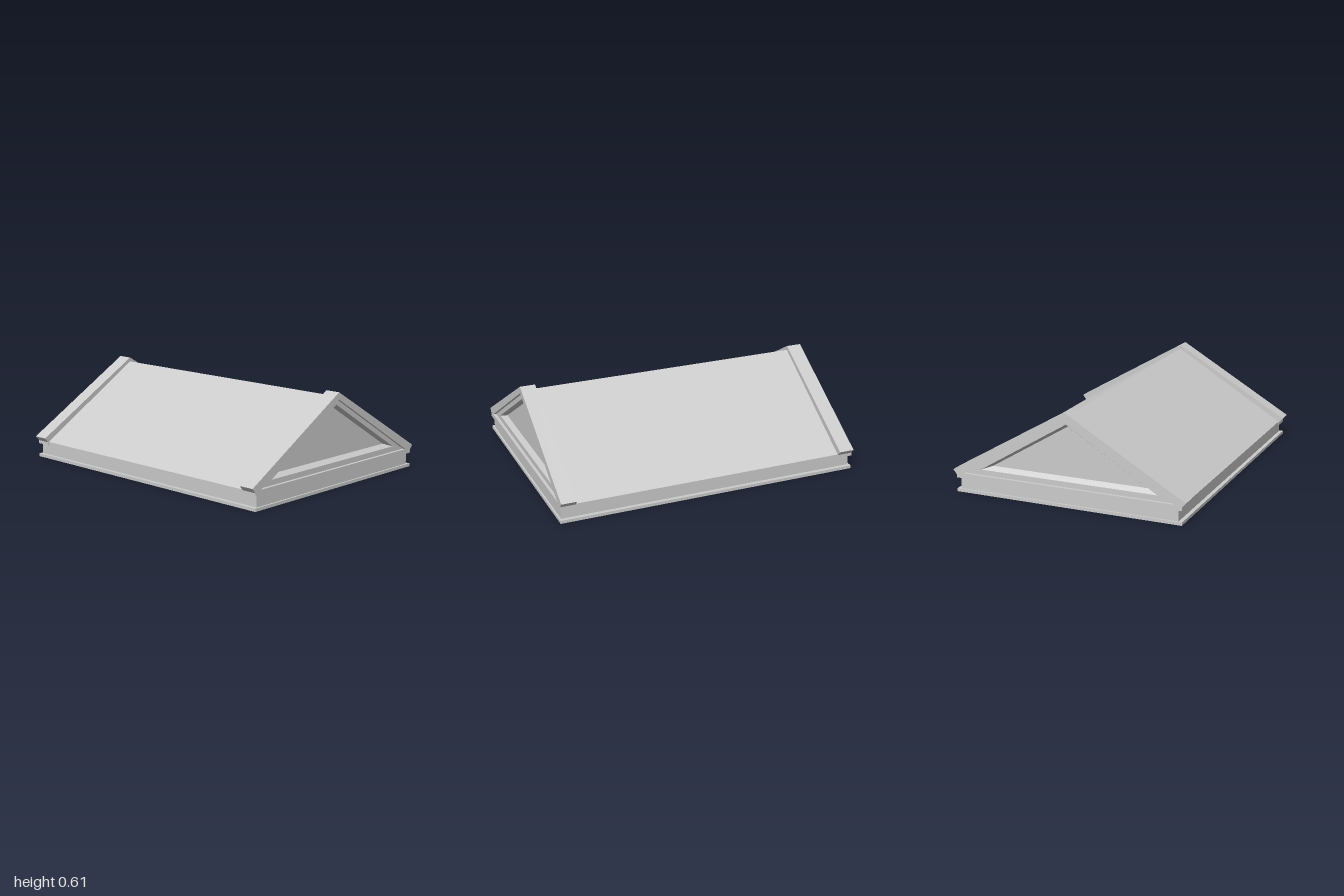
import * as THREE from 'three';

const material = new THREE.MeshStandardMaterial({ color: 0xcccccc, flatShading: true });

function addMesh(parent, name, geometry) {
  const mesh = new THREE.Mesh(geometry, material);
  mesh.name = name;
  parent.add(mesh);
  return mesh;
}

const toPoints = (list) => list.map(([x, y]) => new THREE.Vector2(x, y));

// Straight extrusion of an outline, with an optional hole, from z0 to z1
function prism(outline, z0, z1, hole) {
  const shape = new THREE.Shape(toPoints(outline));
  if (hole) shape.holes.push(new THREE.Path(toPoints(hole)));
  return new THREE.ExtrudeGeometry(shape, { depth: z1 - z0, bevelEnabled: false }).translate(0, 0, z0);
}

const rect = (x, y) => [[-x, -y], [x, -y], [x, y], [-x, y]];
const triangle = (halfWidth, base, apex) => [[-halfWidth, base], [halfWidth, base], [0, apex]];

// Horizontal rectangular frame around the open underside
function frame(halfX, halfZ, y0, y1) {
  return prism(rect(halfX, halfZ), y0, y1, rect(0.575, 0.787)).rotateX(-Math.PI / 2);
}

// Recessed face: rings between successive triangles, closed by the last one
function recess(levels) {
  const loops = levels.map(([tri, z]) => tri.map(([x, y]) => [x, y, z]));
  const positions = [];
  for (let i = 0; i < loops.length - 1; i++) {
    for (let j = 0; j < 3; j++) {
      const k = (j + 1) % 3;
      const [a, b, c, d] = [loops[i][j], loops[i][k], loops[i + 1][k], loops[i + 1][j]];
      positions.push(...a, ...b, ...c, ...a, ...c, ...d);
    }
  }
  positions.push(...loops[loops.length - 1].flat());
  const geometry = new THREE.BufferGeometry();
  geometry.setAttribute('position', new THREE.Float32BufferAttribute(positions, 3));
  geometry.computeVertexNormals();
  return geometry;
}

export function createModel() {
  const model = new THREE.Group();
  model.name = 'gabledRoof';

  // Base moulding and the narrower band above it
  addMesh(model, 'baseMoulding', frame(0.76, 1, 0, 0.02));
  addMesh(model, 'frieze', frame(0.735, 0.988, 0.02, 0.092));

  // Pitched roof with a thin vertical eave
  const roof = [[-0.755, 0.092], [0.755, 0.092], [0.755, 0.115], [0, 0.577], [-0.755, 0.115]];
  addMesh(model, 'roof', prism(roof, -0.92, 0.92));

  // Matching pediments at both ends
  const outer = [
    [-0.76, 0.092], [0.76, 0.092], [0.76, 0.113], [0.785, 0.143],
    [0, 0.605], [-0.785, 0.143], [-0.76, 0.113],
  ];
  const rim = triangle(0.71, 0.125, 0.56);
  const step = triangle(0.595, 0.16, 0.525);
  const panel = triangle(0.525, 0.185, 0.505);
  for (const [name, turn] of [['frontPediment', 0], ['backPediment', Math.PI]]) {
    const pediment = new THREE.Group();
    pediment.name = name;
    pediment.rotation.y = turn;
    addMesh(pediment, 'cornice', prism(outer, 0.9, 1, rim));
    addMesh(pediment, 'recessedPanel', recess([[rim, 1], [rim, 0.98], [step, 0.98], [panel, 0.95]]));
    model.add(pediment);
  }
  return model;
}
